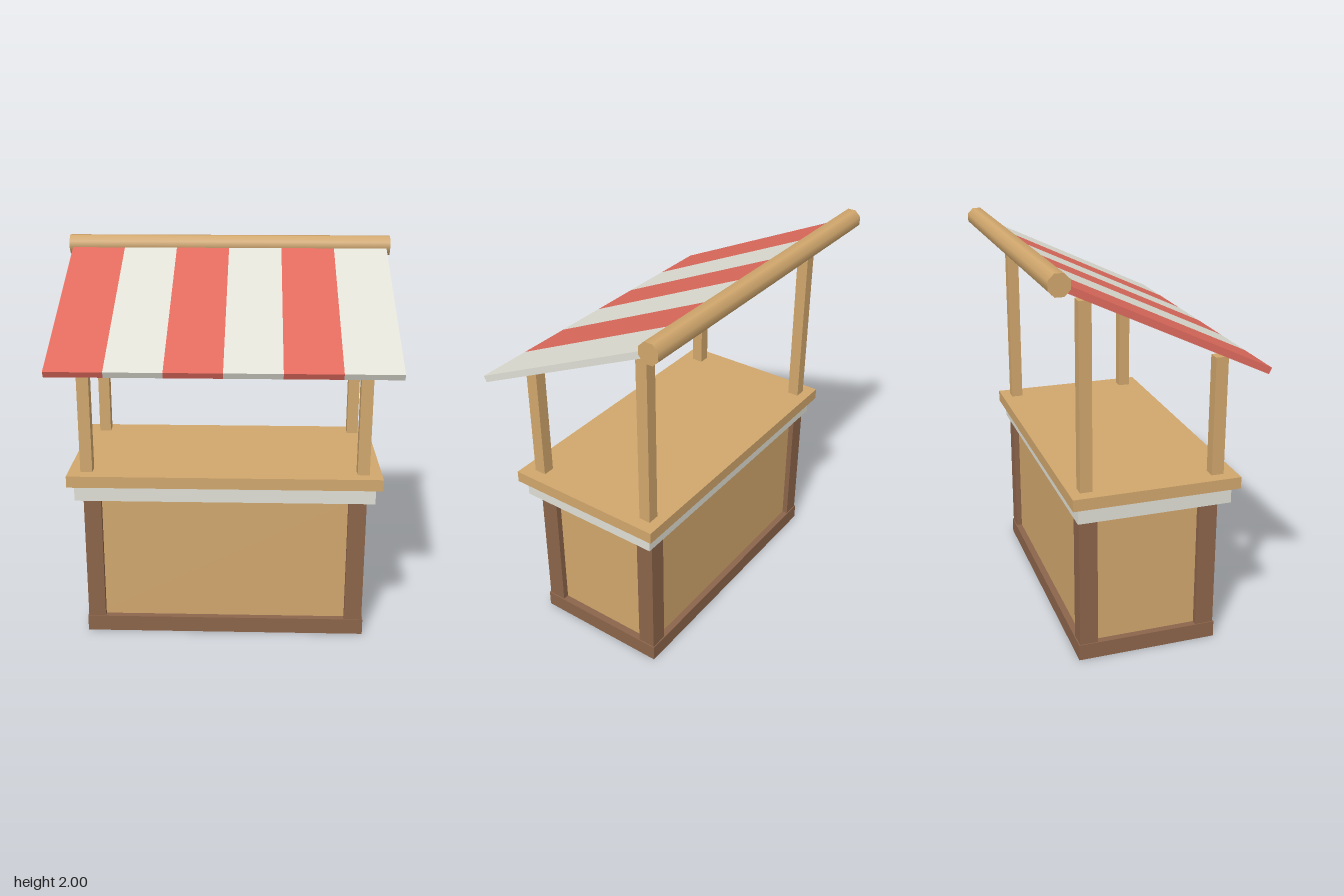
import * as THREE from 'three';

export function createModel() {
  const model = new THREE.Group();
  model.name = 'marketStall';

  const material = (name, color) => {
    const m = new THREE.MeshStandardMaterial({ color });
    m.name = name;
    return m;
  };
  const wood = material('light wood', 0xd1a76d);
  const darkWood = material('dark wood', 0x8c654b);
  const white = material('off white', 0xe0e0d6);
  const red = material('red cloth', 0xe06b5d);

  // Box given by its limits on each axis
  const box = (name, mat, [x0, x1], [y0, y1], [z0, z1], parent = model) => {
    const mesh = new THREE.Mesh(new THREE.BoxGeometry(x1 - x0, y1 - y0, z1 - z0), mat);
    mesh.position.set((x0 + x1) / 2, (y0 + y1) / 2, (z0 + z1) / 2);
    mesh.name = name;
    parent.add(mesh);
    return mesh;
  };

  // Cabinet: plinth, recessed panels and corner posts
  box('plinth', darkWood, [-0.735, 0.733], [0, 0.085], [-0.365, 0.357]);
  box('cabinetPanels', wood, [-0.7, 0.695], [0.08, 0.775], [-0.33, 0.322]);
  for (const x of [[-0.73, -0.64], [0.635, 0.727]])
    for (const z of [[-0.36, -0.267], [0.257, 0.352]])
      box('cornerPost', darkWood, x, [0.08, 0.775], z);

  // Trim band and counter top
  box('counterTrim', white, [-0.766, 0.764], [0.772, 0.857], [-0.375, 0.407]);
  box('counterTop', wood, [-0.798, 0.796], [0.857, 0.917], [-0.407, 0.442]);

  // Awning posts, taller at the back
  for (const x of [[-0.735, -0.674], [0.671, 0.732]]) {
    box('frontAwningPost', wood, x, [0.91, 1.515], [0.313, 0.376]);
    box('backAwningPost', wood, x, [0.91, 1.837], [-0.354, -0.293]);
  }

  // Striped awning sloping from the ridge beam down to the front
  const ridge = new THREE.Vector3(0, 1.944, -0.478);
  const frontEdge = new THREE.Vector3(0, 1.47, 0.527);
  const length = ridge.distanceTo(frontEdge);
  const awning = new THREE.Group();
  awning.name = 'awning';
  awning.position.copy(ridge);
  awning.rotation.x = Math.atan2(ridge.y - frontEdge.y, frontEdge.z - ridge.z);
  const stripes = 6, left = -0.865, width = 1.725 / stripes;
  for (let i = 0; i < stripes; i++) {
    const x = left + i * width;
    box('awningStripe', i % 2 ? white : red, [x, x + width], [-0.0165, 0.0165], [0, length], awning);
  }
  model.add(awning);

  // Round ridge beam
  const beamGeometry = new THREE.CylinderGeometry(0.055, 0.055, 1.764, 8);
  beamGeometry.rotateY(Math.PI / 8).rotateZ(Math.PI / 2);
  const beam = new THREE.Mesh(beamGeometry, wood);
  beam.name = 'ridgeBeam';
  beam.position.set(-0.002, 1.949, -0.478);
  model.add(beam);

  return model;
}
